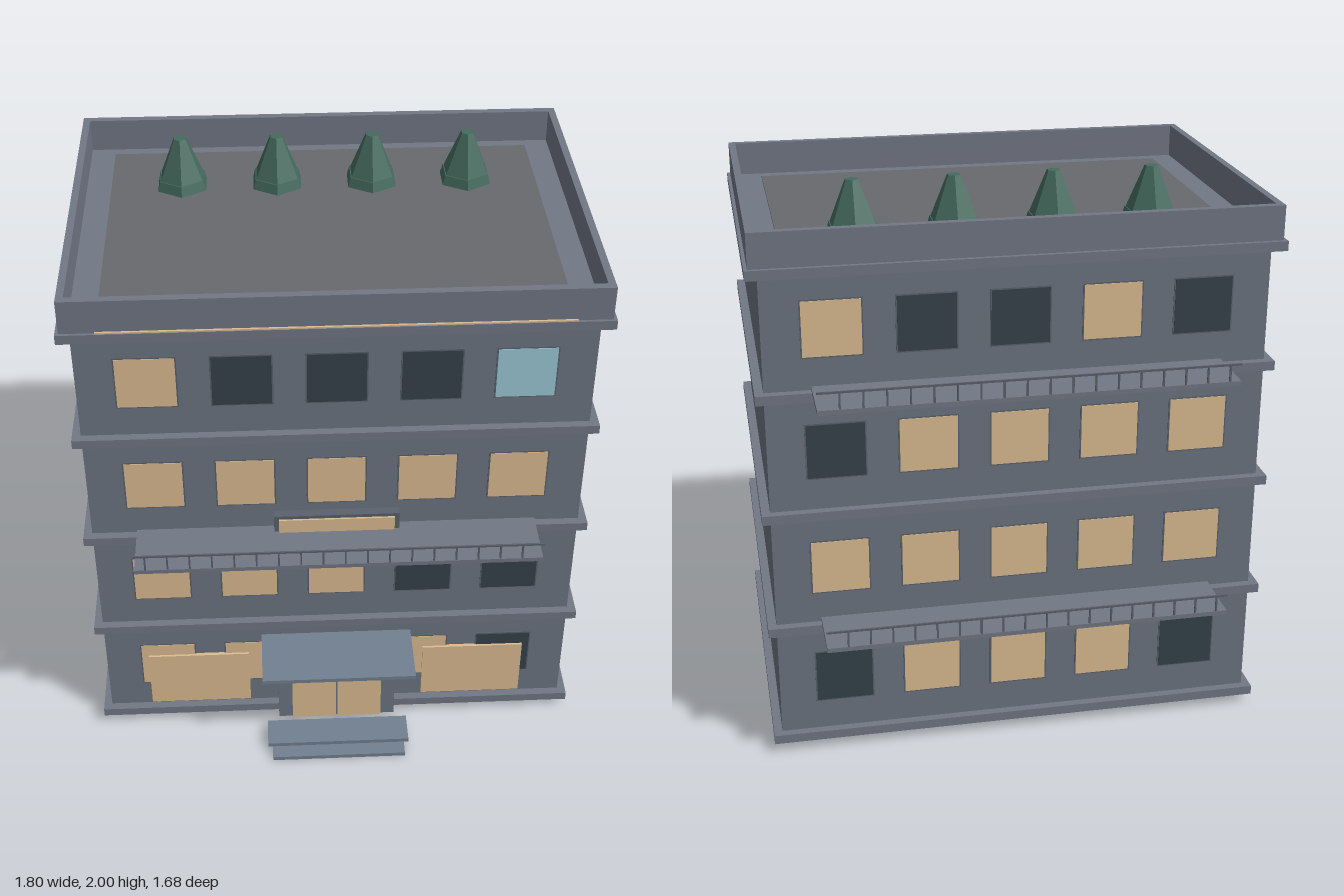
import * as THREE from 'three';

const mat = (color) => new THREE.MeshStandardMaterial({ color, flatShading: true });
const M = {
  wall: mat(0x6c7581), trim: mat(0x727785), roof: mat(0x67696e), frame: mat(0x5a626c),
  W: mat(0xdcbc92), D: mat(0x35424a), C: mat(0x9bc9d8),
  canopy: mat(0x728090), rail: mat(0x5a606c), tree: mat(0x456b5e),
};

// Box given by its min and max along each axis
function box(parent, name, x0, x1, y0, y1, z0, z1, material) {
  const mesh = new THREE.Mesh(new THREE.BoxGeometry(x1 - x0, y1 - y0, z1 - z0), material);
  mesh.position.set((x0 + x1) / 2, (y0 + y1) / 2, (z0 + z1) / 2);
  mesh.name = name;
  parent.add(mesh);
  return mesh;
}

function group(parent, name) {
  const g = new THREE.Group();
  g.name = name;
  parent.add(g);
  return g;
}

const FRONT = 0.59, BACK = -0.62, FLOOR = 0.4345;

// Rows of windows from the ground up; columns run from -x to +x, '.' is a gap
function addWindows(parent, name, rows, wallZ, dir) {
  const g = group(parent, name);
  rows.forEach((row, r) => [...row].forEach((kind, c) => {
    if (kind === '.') return;
    const x = (c - 2) * 0.3145, y = 0.281 + r * FLOOR;
    const slab = (label, w, h, depth, material) => {
      const z = wallZ + dir * depth;
      box(g, label, x - w, x + w, y - h, y + h, Math.min(wallZ, z), Math.max(wallZ, z), material);
    };
    slab('windowFrame', 0.104, 0.101, 0.003, M.frame);
    slab('windowPane', 0.099, 0.096, 0.005, M[kind]);
  }));
}

// Slab with a thin rail along its outer edge
function addBalcony(parent, name, y, wallZ, edgeZ) {
  const g = group(parent, name);
  const dir = Math.sign(edgeZ);
  box(g, 'balconySlab', -0.703, 0.703, y, y + 0.016,
    Math.min(wallZ, edgeZ), Math.max(wallZ, edgeZ), M.trim);
  const z = edgeZ - dir * 0.004;
  box(g, 'handrail', -0.703, 0.703, y + 0.071, y + 0.078, z - 0.003, z + 0.003, M.rail);
  for (let i = 0; i < 18; i++) {
    const x = -0.665 + i * 0.0762;
    box(g, 'railPost', x - 0.003, x + 0.003, y + 0.016, y + 0.072, z - 0.003, z + 0.003, M.rail);
  }
}

export function createModel() {
  const model = new THREE.Group();
  model.name = 'apartmentBuilding';

  // Main block, floor bands and cornice
  box(model, 'walls', -0.86, 0.86, 0.04, 1.79, BACK, FRONT, M.wall);
  for (let i = 0; i < 4; i++) {
    const y = 0.036 + i * FLOOR;
    box(model, 'floorBand', -0.89, 0.89, y, y + 0.033, -0.65, 0.62, M.trim);
  }
  box(model, 'cornice', -0.902, 0.902, 1.771, 1.805, -0.665, 0.63, M.trim);
  box(model, 'corniceLight', -0.775, 0.775, 1.8, 1.81, 0.615, 0.627, M.W);

  // Roof surface and parapet
  box(model, 'roof', -0.775, 0.775, 1.8, 1.812, -0.57, 0.52, M.roof);
  const parapet = group(model, 'parapet');
  box(parapet, 'frontParapet', -0.89, 0.89, 1.805, 1.925, 0.592, 0.62, M.trim);
  box(parapet, 'backParapet', -0.89, 0.89, 1.805, 1.925, -0.65, -0.622, M.trim);
  for (const s of [-1, 1]) {
    const a = s * 0.865, b = s * 0.89;
    box(parapet, 'sideParapet', Math.min(a, b), Math.max(a, b), 1.805, 1.925, -0.622, 0.592, M.trim);
  }

  // Windows
  addWindows(model, 'frontWindows', ['WW.WD', 'WWWDD', 'WWWWW', 'WDDDC'], FRONT, 1);
  addWindows(model, 'backWindows', ['DWWWD', 'WWWWW', 'WWWWD', 'DWDDW'], BACK, -1);

  // Balconies
  addBalcony(model, 'frontBalcony', 0.931, FRONT, 0.802);
  addBalcony(model, 'lowerBackBalcony', 0.502, BACK, -0.838);
  addBalcony(model, 'upperBackBalcony', 1.369, BACK, -0.838);

  // Lit panel above the entrance
  box(model, 'panelFrame', -0.22, 0.22, 0.898, 1.015, FRONT, 0.623, M.frame);
  box(model, 'litPanel', -0.203, 0.203, 0.91, 1.002, 0.61, 0.63, M.W);

  // Entrance: portal, double door, canopy and steps
  const entrance = group(model, 'entrance');
  box(entrance, 'portal', -0.22, 0.22, 0.03, 0.396, FRONT, 0.65, M.wall);
  box(entrance, 'leftDoor', 0.003, 0.168, 0.03, 0.328, 0.64, 0.657, M.W);
  box(entrance, 'rightDoor', -0.168, -0.003, 0.03, 0.328, 0.64, 0.657, M.W);
  box(entrance, 'canopy', -0.278, 0.278, 0.396, 0.412, FRONT, 0.828, M.canopy);
  box(entrance, 'lowerStep', -0.248, 0.248, 0, 0.016, 0.73, 0.842, M.canopy);
  box(entrance, 'upperStep', -0.265, 0.265, 0.018, 0.034, 0.675, 0.79, M.canopy);

  // Ground floor display windows
  for (const s of [-1, 1]) {
    const x = s * 0.515;
    box(model, 'displayWindow', x - 0.188, x + 0.188, 0.085, 0.326, FRONT, 0.603, M.W);
  }

  // Roof shrubs: hexagonal crown on a low base
  for (let i = 0; i < 4; i++) {
    const shrub = group(model, 'roofShrub');
    shrub.position.set((i - 1.5) * 0.345, 1.812, -0.325);
    const base = new THREE.Mesh(new THREE.CylinderGeometry(0.09, 0.1, 0.036, 6), M.tree);
    base.name = 'shrubBase';
    base.position.y = 0.018;
    const crown = new THREE.Mesh(new THREE.CylinderGeometry(0.024, 0.086, 0.152, 6), M.tree);
    crown.name = 'shrubCrown';
    crown.position.y = 0.112;
    shrub.add(base, crown);
  }

  return model;
}
